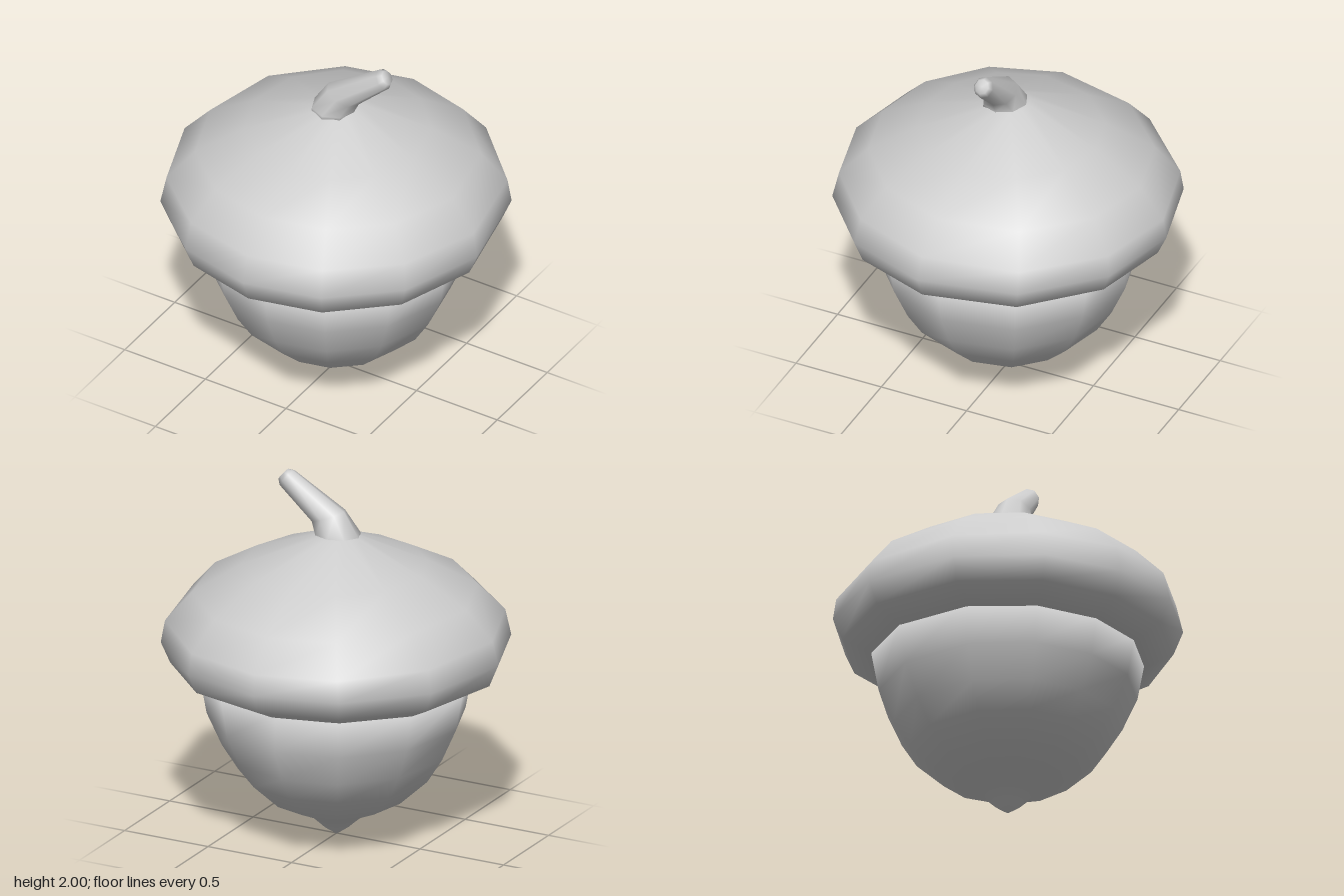
import * as THREE from 'three';

// Twelve slightly uneven corners, in degrees from the back, mirrored left to right
const half = [0, 29, 61, 95, 125, 153, 180];
const corners = [...half, ...half.slice(1, -1).reverse().map(a => 360 - a)].map(THREE.MathUtils.degToRad);
const octagon = Array.from({ length: 8 }, (_, i) => i * Math.PI / 4);

// Smooth closed skin over rings of points, listed from bottom to top
function loft(name, rings) {
  const n = rings[0].length, last = rings.length - 1, points = rings.flat(), index = [];
  const centre = ring => ring.reduce((s, p) => s.add(p), new THREE.Vector3()).divideScalar(n);
  const bottom = points.push(centre(rings[0])) - 1;
  const top = points.push(centre(rings[last])) - 1;
  for (let j = 0; j < n; j++) {
    const k = (j + 1) % n;
    for (let i = 0; i < last; i++) {
      const a = i * n + j, b = i * n + k;
      index.push(a, a + n, b, b, a + n, b + n);
    }
    index.push(bottom, j, k, top, last * n + k, last * n + j);
  }
  const geometry = new THREE.BufferGeometry().setFromPoints(points);
  geometry.setIndex(index);
  geometry.computeVertexNormals();
  const mesh = new THREE.Mesh(geometry, new THREE.MeshStandardMaterial({ color: 0xcccccc }));
  mesh.name = name;
  return mesh;
}

// Level ring: radius, height, rise towards the front, shift in z
const levelRing = ([r, y, tilt = 0, shift = 0]) => corners.map(a => {
  const z = -Math.cos(a);
  return new THREE.Vector3(Math.sin(a) * r, y + tilt * z, z * r + shift);
});

// Stem ring: centre, half width, half depth, lean about z
const stemRing = ([x, y, z, w, d, lean]) => octagon.map(a => new THREE.Vector3(
  x + Math.sin(a) * w * Math.cos(lean),
  y + Math.sin(a) * w * Math.sin(lean),
  z - Math.cos(a) * d));

export function createModel() {
  const group = new THREE.Group();
  group.name = 'acorn';

  // Nut with a pointed tip, a little flattened at the back of its upper edge
  const nutRings = [
    [0.005, 0], [0.07, 0.045], [0.15, 0.12], [0.365, 0.22], [0.52, 0.365],
    [0.605, 0.5], [0.685, 0.68], [0.725, 0.9],
  ].map(levelRing);
  nutRings.at(-1).forEach(p => { p.z = Math.max(p.z, -0.68); });
  group.add(loft('nut', nutRings));

  // Broad cap with its rim turned under
  group.add(loft('cap', [
    [0.64, 0.9], [0.725, 0.88, -0.01, 0.01], [0.877, 0.96, -0.01], [0.927, 1.08],
    [0.9, 1.215, 0.02, -0.01], [0.755, 1.375, 0.015, -0.02],
    [0.495, 1.525, 0, -0.02], [0.12, 1.68, -0.01],
  ].map(levelRing)));

  // Bent stem with a rounded end
  group.add(loft('stem', [
    [0, 1.64, 0.015, 0.125, 0.127, 0],
    [0, 1.68, 0.015, 0.122, 0.125, 0],
    [0.057, 1.775, 0.015, 0.1, 0.088, -0.36],
    [0.295, 1.95, 0, 0.058, 0.055, -0.92],
    [0.317, 1.968, 0, 0.04, 0.038, -0.92],
  ].map(stemRing)));

  return group;
}
